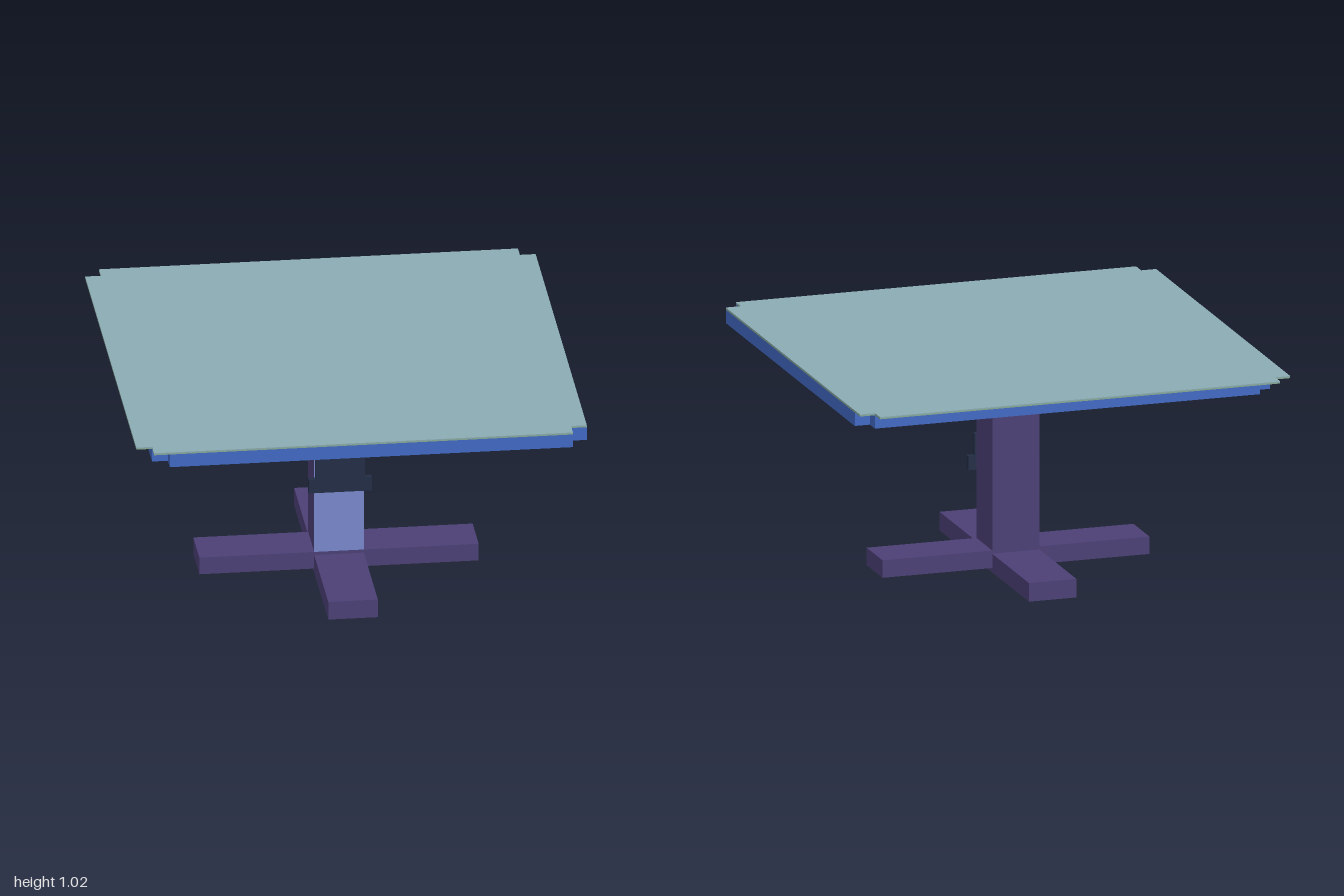
import * as THREE from 'three';

const mat = (name, color) => {
  const m = new THREE.MeshStandardMaterial({ color });
  m.name = name;
  return m;
};

export function createModel() {
  const model = new THREE.Group();
  model.name = 'pedestalTable';

  const teal = mat('pale teal', 0x8aabb3);
  const green = mat('grey green', 0x86a894);
  const blue = mat('blue', 0x4169c4);
  const purple = mat('purple', 0x4c4076);
  const lilac = mat('light blue', 0x7888cc);
  const navy = mat('dark navy', 0x222d46);

  const add = (name, geometry, material) => {
    const mesh = new THREE.Mesh(geometry, material);
    mesh.name = name;
    model.add(mesh);
    return mesh;
  };
  const box = (name, material, x0, x1, y0, y1, z0, z1) => {
    const mesh = add(name, new THREE.BoxGeometry(x1 - x0, y1 - y0, z1 - z0), material);
    mesh.position.set((x0 + x1) / 2, (y0 + y1) / 2, (z0 + z1) / 2);
    return mesh;
  };

  // Square slab with a small square notch cut from each corner
  const slab = (name, material, min, max, y0, y1, notch = 0.07) => {
    const a = min + notch, b = max - notch;
    const outline = [
      [a, min], [b, min], [b, a], [max, a], [max, b], [b, b],
      [b, max], [a, max], [a, b], [min, b], [min, a], [a, a],
    ];
    const shape = new THREE.Shape(outline.map(([x, z]) => new THREE.Vector2(x, -z)));
    const geometry = new THREE.ExtrudeGeometry(shape, { depth: y1 - y0, bevelEnabled: false });
    geometry.rotateX(-Math.PI / 2);
    add(name, geometry, material).position.y = y0;
  };

  // Table top: thin cover over an offset, thicker board
  slab('topBoard', blue, -0.93, 1, 0.945, 1.006);
  slab('topCoverUnderside', green, -1, 1, 1.006, 1.012);
  slab('topCover', teal, -1, 1, 1.012, 1.016);

  // Column, neck and crossed feet
  box('neck', purple, -0.085, 0.085, 0.9, 0.945, -0.085, 0.085);
  box('column', purple, -0.11, 0.11, 0.1, 0.9, -0.11, 0.108);
  box('crossFoot', purple, -0.62, 0.62, 0.02, 0.1, -0.11, 0.11);
  box('longFoot', purple, -0.11, 0.11, 0, 0.085, -0.62, 0.62);

  // Painted front of the column
  box('columnFront', lilac, -0.11, 0.11, 0.1, 0.9, 0.108, 0.11);
  box('leftPalePatch', teal, 0.05, 0.11, 0.67, 0.74, 0.11, 0.112);
  box('rightPalePatch', teal, -0.11, -0.05, 0.83, 0.9, 0.11, 0.112);
  box('darkPatch', navy, 0.07, 0.11, 0.74, 0.9, 0.11, 0.112);

  // Stepped plate standing just in front of the column
  const right = [[0.14, 0.405], [0.14, 0.47], [0.11, 0.47], [0.11, 0.57], [0.085, 0.57],
    [0.085, 0.605], [0.055, 0.605], [0.055, 0.74], [0.08, 0.74], [0.08, 0.89], [0.055, 0.89], [0.055, 0.915]];
  const left = [[-0.06, 0.915], [-0.06, 0.89], [-0.085, 0.89], [-0.085, 0.74], [-0.11, 0.74], [-0.11, 0.675],
    [-0.085, 0.675], [-0.085, 0.645], [-0.06, 0.645], [-0.06, 0.605], [-0.085, 0.605], [-0.085, 0.57],
    [-0.11, 0.57], [-0.11, 0.47], [-0.14, 0.47], [-0.14, 0.405]];
  const plateShape = new THREE.Shape([...right, ...left].map(([x, y]) => new THREE.Vector2(x, y)));
  add('steppedPlate', new THREE.ExtrudeGeometry(plateShape, { depth: 0.025, bevelEnabled: false }), navy)
    .position.z = 0.133;

  return model;
}
